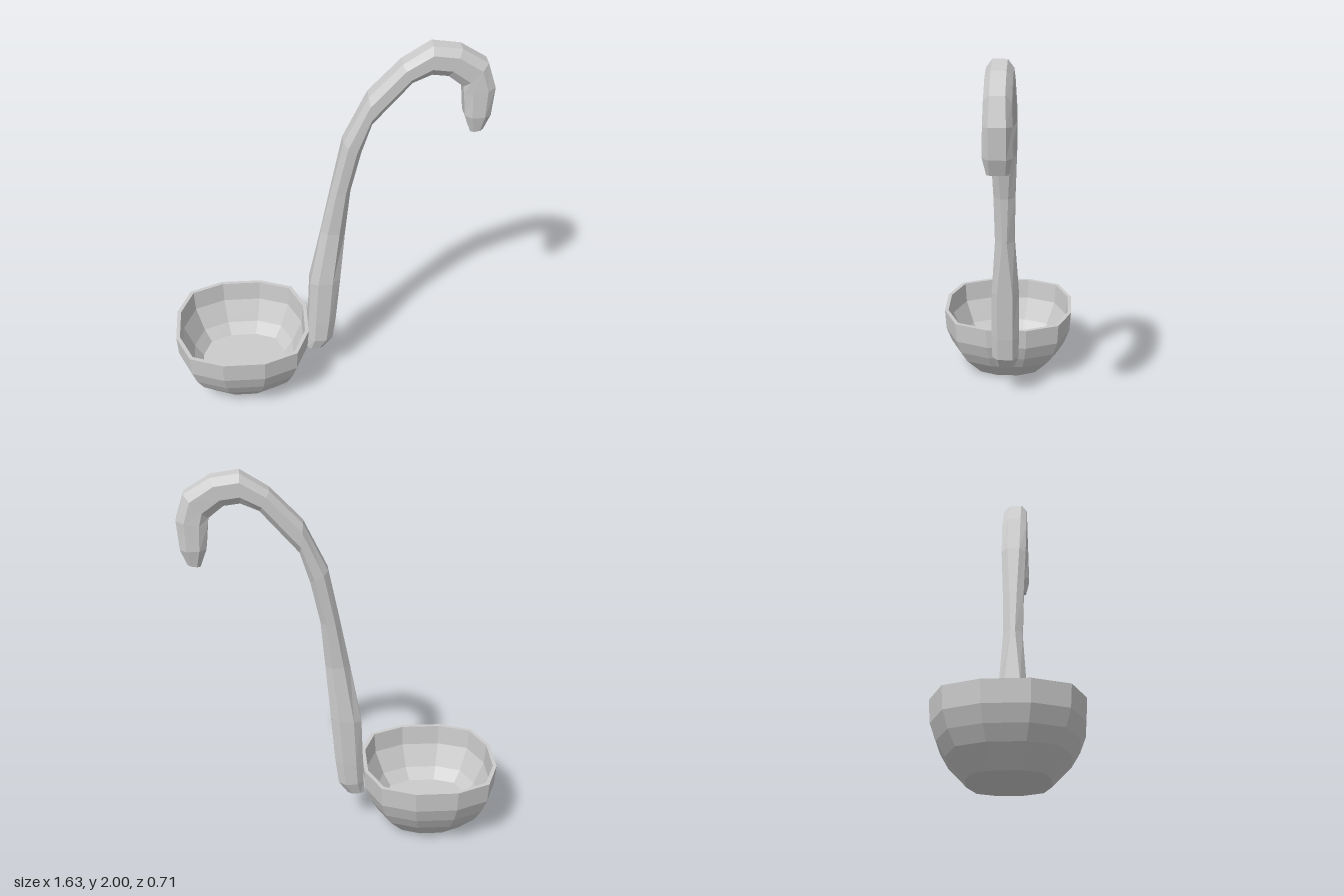
import * as THREE from 'three';

const material = new THREE.MeshStandardMaterial({ color: 0xcccccc, flatShading: true });

// Skins a list of rings (each counter-clockwise about the direction of travel) and closes both ends.
function loft(name, rings) {
  const pos = [];
  const tri = (a, b, c) => pos.push(...a.toArray(), ...b.toArray(), ...c.toArray());
  const middle = ring => ring.reduce((s, p) => s.add(p), new THREE.Vector3()).divideScalar(ring.length);
  const n = rings[0].length;
  const first = rings[0], last = rings[rings.length - 1];
  const c0 = middle(first), c1 = middle(last);
  for (let i = 0; i < n; i++) {
    const j = (i + 1) % n;
    tri(c0, first[j], first[i]);
    tri(c1, last[i], last[j]);
    for (let k = 0; k + 1 < rings.length; k++) {
      const a = rings[k], b = rings[k + 1];
      tri(a[i], a[j], b[j]);
      tri(a[i], b[j], b[i]);
    }
  }
  const geo = new THREE.BufferGeometry();
  geo.setAttribute('position', new THREE.Float32BufferAttribute(pos, 3));
  geo.computeVertexNormals();
  const mesh = new THREE.Mesh(geo, material);
  mesh.name = name;
  return mesh;
}

// Twelve-sided rounded square, in one scaled ring per profile step
function bowl() {
  const quarter = [[0.357, 0.11], [0.283, 0.285], [0.11, 0.355]];
  const outline = [];
  for (let q = 0; q < 4; q++) {
    for (const [x, z] of quarter) {
      const p = new THREE.Vector2(x, z).rotateAround(new THREE.Vector2(), q * Math.PI / 2);
      outline.push(p);
    }
  }
  // [scale, height]: up the outside, over the rim, down the inside
  const profile = [
    [0.54, 0], [0.79, 0.1], [0.9, 0.17], [0.98, 0.25], [1, 0.36],
    [0.945, 0.36], [0.92, 0.25], [0.77, 0.13], [0.64, 0.07],
  ];
  return loft('bowl', profile.map(([s, y]) =>
    outline.map(p => new THREE.Vector3(-0.46 + p.x * s, y, -p.y * s))));
}

// Eight-sided handle that narrows at the middle and curls into a hook
function handle() {
  // [outer x, outer y, inner x, inner y, half width, half width of the flat]
  const sections = [
    [-0.11, 0.18, -0.02, 0.18, 0.05, 0.035],
    [-0.105, 0.25, 0.03, 0.25, 0.07, 0.04],
    [-0.1, 0.38, 0.047, 0.38, 0.072, 0.04],
    [-0.09, 0.63, 0.07, 0.65, 0.07, 0.04],
    [-0.03, 0.95, 0.097, 0.95, 0.05, 0.012],
    [0.02, 1.2, 0.12, 1.2, 0.055, 0.02],
    [0.08, 1.49, 0.17, 1.43, 0.065, 0.032],
    [0.2, 1.74, 0.22, 1.59, 0.068, 0.035],
    [0.36, 1.91, 0.41, 1.81, 0.065, 0.035],
    [0.5, 2, 0.5, 1.85, 0.063, 0.035],
    [0.64, 1.98, 0.58, 1.84, 0.063, 0.035],
    [0.77, 1.9, 0.655, 1.78, 0.063, 0.035],
    [0.812, 1.77, 0.66, 1.74, 0.066, 0.04],
    [0.8, 1.62, 0.672, 1.62, 0.068, 0.04],
    [0.768, 1.54, 0.705, 1.53, 0.05, 0.035],
  ];
  // Section corners: [position from outer 0 to inner 1, side, on the flat]
  const corners = [
    [1, -1, 1], [0.74, -1, 0], [0.26, -1, 0], [0, -1, 1],
    [0, 1, 1], [0.26, 1, 0], [0.74, 1, 0], [1, 1, 1],
  ];
  return loft('handle', sections.map(([ox, oy, ix, iy, half, flat]) =>
    corners.map(([t, side, onFlat]) => new THREE.Vector3(
      ox + (ix - ox) * t, oy + (iy - oy) * t, side * (onFlat ? flat : half)))));
}

export function createModel() {
  const group = new THREE.Group();
  group.name = 'ladle';
  group.add(bowl(), handle());
  return group;
}
